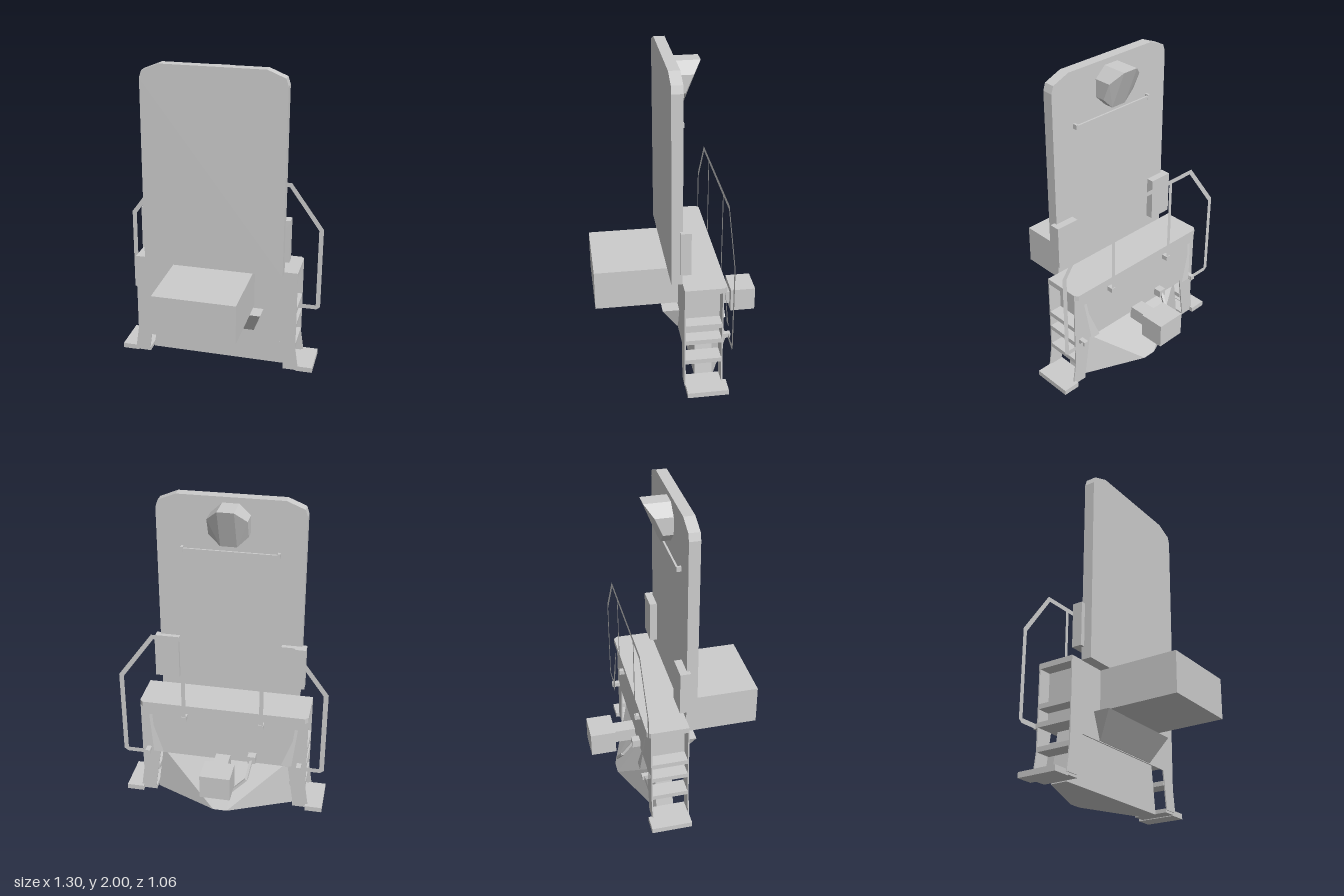
import * as THREE from 'three';
import { ConvexGeometry } from 'three/addons/geometries/ConvexGeometry.js';

export function createModel() {
  const root = new THREE.Group();
  const grey = new THREE.MeshStandardMaterial({ color: 0xcccccc });
  grey.name = 'light grey';
  grey.side = THREE.DoubleSide;
  grey.flatShading = true;

  const add = (name, geometry) => {
    const mesh = new THREE.Mesh(geometry, grey);
    mesh.name = name;
    root.add(mesh);
    return mesh;
  };
  // Box given by its limits on each axis
  const box = (name, x0, x1, y0, y1, z0, z1) =>
    add(name, new THREE.BoxGeometry(x1 - x0, y1 - y0, z1 - z0))
      .position.set((x0 + x1) / 2, (y0 + y1) / 2, (z0 + z1) / 2);
  // Same box on both sides
  const boxPair = (name, x0, x1, ...rest) => {
    box(name, x0, x1, ...rest);
    box(name, -x1, -x0, ...rest);
  };
  const outline = (pts) => new THREE.Shape(pts.map(([x, y]) => new THREE.Vector2(x, y)));
  // Closes a right-half outline by mirroring it
  const mirrored = (half) => outline([...half, ...half.slice().reverse().map(([x, y]) => [-x, y])]);
  const slab = (shape, depth) => new THREE.ExtrudeGeometry(shape, { depth, bevelEnabled: false });
  const hull = (pts) => new ConvexGeometry(pts.flatMap(([x, y, z]) =>
    [new THREE.Vector3(x, y, z), new THREE.Vector3(-x, y, z)]));
  // Square bar between two points
  const bar = (name, a, b, size) => {
    const p = new THREE.Vector3(...a), q = new THREE.Vector3(...b);
    const mesh = add(name, new THREE.BoxGeometry(size, size, p.distanceTo(q)));
    mesh.position.copy(p).add(q).multiplyScalar(0.5);
    mesh.lookAt(q);
  };

  // Tall panel with clipped top corners
  add('tallPanel', slab(mirrored([[0.45, 0.705], [0.45, 1.91], [0.435, 1.955], [0.325, 2]]), 0.068))
    .position.z = 0.01;
  boxPair('panelSideBox', 0.325, 0.48, 0.785, 1.065, -0.037, 0.028);

  // Octagonal lamp housing, its face leaning back towards the bottom
  add('lampHousing', hull([
    [0.05, 1.965, 0.01], [0.12, 1.9, 0.01], [0.12, 1.79, 0.01], [0.05, 1.72, 0.01],
    [0.05, 1.965, -0.15], [0.12, 1.9, -0.1], [0.12, 1.79, -0.053], [0.05, 1.72, -0.053]]));
  box('panelGrabBar', -0.3, 0.3, 1.657, 1.673, -0.018, -0.006);
  boxPair('grabBarFoot', 0.285, 0.3, 1.65, 1.68, -0.018, 0.01);

  // Deck with clipped rear corners, and the core below it
  add('deck', slab(mirrored([[0.535, -0.005], [0.535, 0.228], [0.515, 0.25]]), 0.035)
    .rotateX(-Math.PI / 2)).position.y = 0.672;
  box('bodyCore', -0.45, 0.45, 0.315, 0.675, -0.225, 0.003);

  // Thin end plates with splayed legs either side
  const endPlate = (bottom) => mirrored([[0.415, bottom], [0.425, 0.265], [0.46, 0.02],
    [0.557, 0.02], [0.535, 0.17], [0.535, 0.707]]);
  add('frontPlate', slab(endPlate(0.265), 0.008)).position.z = 0.002;
  add('rearPlate', slab(endPlate(0.33), 0.008)).position.z = -0.229;

  // Steps on both sides
  for (const y of [0.17, 0.315, 0.425]) boxPair('step', 0.43, 0.535, y, y + 0.03, -0.222, 0.004);
  boxPair('bottomStep', 0.455, 0.54, 0.005, 0.03, -0.225, 0.005);
  boxPair('bottomStep', 0.54, 0.65, 0, 0.034, -0.252, 0.005);

  // Plough
  add('plough', hull([
    [0.453, 0, -0.07], [0.453, 0, -0.18], [0.045, 0, -0.355],
    [0.41, 0.316, -0.07], [0.41, 0.316, -0.18], [0.1, 0.316, -0.19]]));

  // Nose box and wedge under it
  box('noseBox', -0.26, 0.26, 0.45, 0.707, 0, 0.53);
  add('noseWedge', hull([[0.32, 0.43, 0], [0.32, 0.43, 0.115], [0.26, 0.27, 0], [0.26, 0.27, 0.015]]));

  // Coupler and its lever
  box('couplerShank', -0.047, 0.047, 0.267, 0.355, -0.372, -0.22);
  box('couplerHead', -0.1, 0.09, 0.235, 0.393, -0.53, -0.368);
  box('leverBracket', -0.215, -0.165, 0.345, 0.395, -0.28, -0.22);
  bar('lever', [-0.19, 0.37, -0.27], [-0.17, 0.265, -0.34], 0.016);
  bar('lever', [-0.17, 0.265, -0.34], [-0.02, 0.105, -0.35], 0.016);

  // Flat handrail with two posts
  const outer = [[0.47, 0.325], [0.625, 0.325], [0.65, 0.345], [0.65, 0.905], [0.433, 1.205]];
  const inner = [[0.42, 1.175], [0.62, 0.895], [0.62, 0.355], [0.47, 0.355]];
  const flip = (pts) => pts.slice().reverse().map(([x, y]) => [-x, y]);
  add('handrail', new THREE.ShapeGeometry(outline(
    [...outer, ...flip(outer), ...flip(inner), ...inner])))
    .position.z = -0.265;
  for (const x of [-0.245, 0.245]) {
    add('handrailPost', new THREE.PlaneGeometry(0.025, 0.585)).position.set(x, 0.893, -0.265);
  }
  boxPair('postBracket', 0.23, 0.26, 0.605, 0.635, -0.27, -0.225);
  boxPair('railBracket', 0.475, 0.505, 0.325, 0.355, -0.28, -0.225);

  // Slanted flat grips on the rear plate
  for (const s of [-1, 1]) {
    const grip = add('rearGrip', new THREE.ShapeGeometry(outline([[0.455, 0.62], [0.475, 0.62],
      [0.445, 0.36], [0.38, 0.36], [0.38, 0.34], [0.425, 0.34]].map(([x, y]) => [s * x, y]))));
    const p = grip.geometry.attributes.position;
    for (let i = 0; i < p.count; i++) p.setZ(i, -0.25 - (0.62 - p.getY(i)) * 0.12);
  }
  return root;
}
